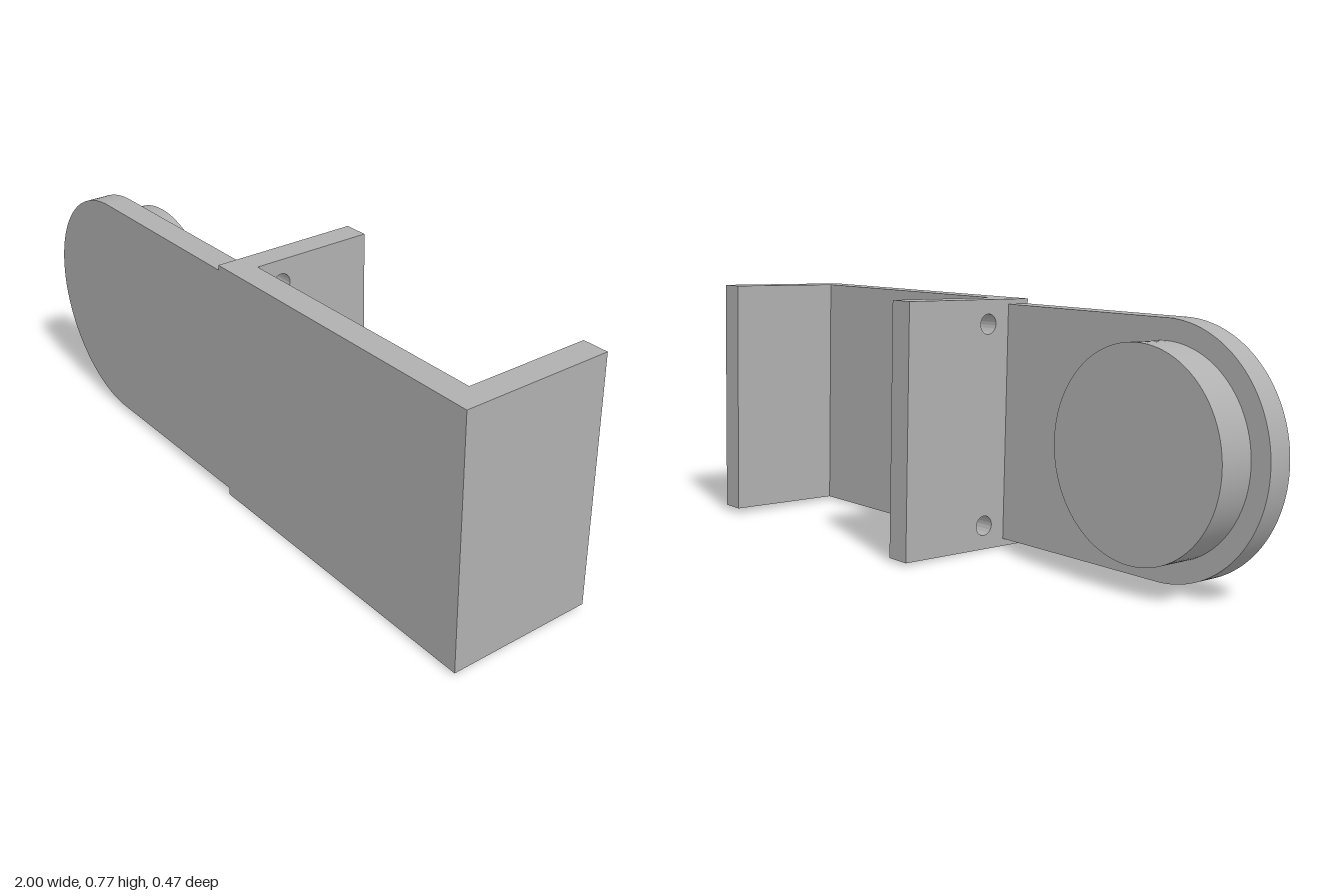
import * as THREE from 'three';
import { toCreasedNormals } from 'three/addons/utils/BufferGeometryUtils.js';

const T = 0.078;              // sheet thickness
const H = 0.756;              // bracket height
const X0 = -0.014, X1 = 0.996; // bracket ends
const ZB = -0.2265, ZF = 0.2265; // back and front planes

export function createModel() {
  const model = new THREE.Group();
  model.name = 'wallBracket';
  const grey = new THREE.MeshStandardMaterial({ color: 0xb0b0b0 });
  grey.name = 'plainGrey';

  // The whole part sits with a very slight tilt
  const body = new THREE.Group();
  body.name = 'bracketBody';
  body.position.y = 0.3825;
  body.rotation.set(0.019, 0, 0.009);
  model.add(body);

  const add = (name, geometry) => {
    const mesh = new THREE.Mesh(geometry, grey);
    mesh.name = name;
    body.add(mesh);
    return mesh;
  };
  const extrude = (shape, depth) => toCreasedNormals(
    new THREE.ExtrudeGeometry(shape, { depth, bevelEnabled: false, curveSegments: 48 }), 0.5);

  // Front plate and outer wall: one L profile extruded upwards
  const angle = new THREE.Shape([
    [X0, -ZF], [X1, -ZF], [X1, -ZB], [X1 - T, -ZB], [X1 - T, T - ZF], [X0, T - ZF],
  ].map(([x, y]) => new THREE.Vector2(x, y)));
  add('frontPlateAndOuterWall',
    extrude(angle, H).rotateX(-Math.PI / 2).translate(0, -H / 2, 0));

  // Middle wall with two screw holes, extruded along x
  const wall = new THREE.Shape([
    [T - ZF, -H / 2], [-ZB, -H / 2], [-ZB, H / 2], [T - ZF, H / 2],
  ].map(([x, y]) => new THREE.Vector2(x, y)));
  for (const side of [-1, 1]) {
    const hole = new THREE.Path();
    hole.absarc(T - ZF + 0.078, side * (H / 2 - 0.073), 0.03, 0, Math.PI * 2, true);
    wall.holes.push(hole);
  }
  add('middleWall', extrude(wall, T).rotateY(Math.PI / 2).translate(X0, 0, 0));

  // Round-ended tongue, flush with the front plate
  const cx = -0.641, r = 0.359, cy = 0.004;
  const tongue = new THREE.Shape();
  tongue.moveTo(X0, cy - r);
  tongue.lineTo(X0, cy + r);
  tongue.lineTo(cx, cy + r);
  tongue.absarc(cx, cy, r, Math.PI / 2, Math.PI * 1.5, false);
  add('tongue', extrude(tongue, T).translate(0, 0, ZF - T));

  // Round boss on the back of the tongue
  const bossHeight = 0.113;
  add('boss', new THREE.CylinderGeometry(0.298, 0.298, bossHeight, 96).rotateX(Math.PI / 2))
    .position.set(cx, cy, ZF - T - bossHeight / 2);

  return model;
}
